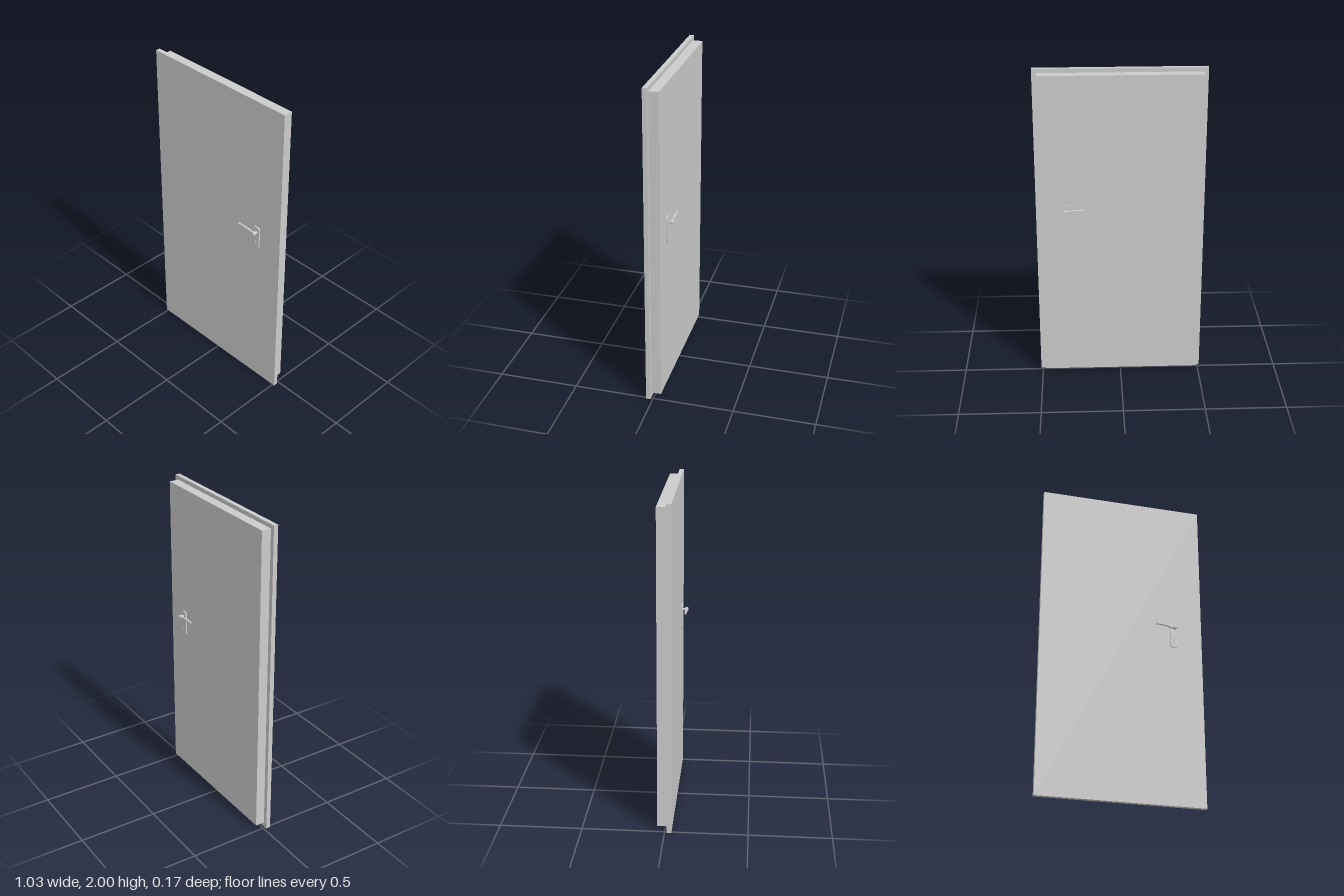
import * as THREE from 'three';

const material = new THREE.MeshStandardMaterial({ color: 0xcccccc });

function addMesh(parent, name, geometry, x = 0, y = 0, z = 0) {
  const mesh = new THREE.Mesh(geometry, material);
  mesh.name = name;
  mesh.position.set(x, y, z);
  parent.add(mesh);
  return mesh;
}

// Plate outline with rounded corners and a keyhole cut through it
function plateGeometry(depth) {
  const [l, r, b, t, c] = [0.307, 0.355, 1.01, 1.172, 0.015];
  const shape = new THREE.Shape();
  shape.moveTo(l + c, b);
  shape.lineTo(r - c, b);
  shape.absarc(r - c, b + c, c, -Math.PI / 2, 0);
  shape.lineTo(r, t - c);
  shape.absarc(r - c, t - c, c, 0, Math.PI / 2);
  shape.lineTo(l + c, t);
  shape.absarc(l + c, t - c, c, Math.PI / 2, Math.PI);
  shape.lineTo(l, b + c);
  shape.absarc(l + c, b + c, c, Math.PI, Math.PI * 1.5);

  const hole = new THREE.Path();
  const [x, y] = [0.331, 1.064];
  hole.moveTo(x - 0.0025, y - 0.014);
  hole.lineTo(x - 0.0025, y - 0.004);
  hole.absarc(x, y, 0.005, Math.PI * 1.3, -Math.PI * 0.3, true);
  hole.lineTo(x + 0.0025, y - 0.014);
  hole.closePath();
  shape.holes.push(hole);
  return new THREE.ExtrudeGeometry(shape, { depth, bevelEnabled: false, curveSegments: 6 });
}

// Gently curved lever that thickens towards the hub, centred on z = 0
function leverGeometry() {
  const shape = new THREE.Shape();
  shape.moveTo(0.212, 1.144);
  shape.bezierCurveTo(0.25, 1.145, 0.28, 1.139, 0.303, 1.13);
  shape.lineTo(0.335, 1.127);
  shape.lineTo(0.335, 1.146);
  shape.bezierCurveTo(0.31, 1.146, 0.27, 1.153, 0.212, 1.15);
  shape.closePath();
  return new THREE.ExtrudeGeometry(shape, {
    depth: 0.008, bevelThickness: 0.002, bevelSize: 0.002, bevelSegments: 2, curveSegments: 10,
  }).translate(0, 0, -0.004);
}

// Handle set standing off a door face at z = face, pointing along sign
function makeHandle(name, face, sign) {
  const handle = new THREE.Group();
  handle.name = name;
  const plateDepth = 0.009;
  const at = (offset) => face + sign * offset;
  addMesh(handle, 'plate', plateGeometry(plateDepth), 0, 0, sign > 0 ? face : face - plateDepth);
  const stem = new THREE.CylinderGeometry(0.008, 0.008, 0.016, 20).rotateX(Math.PI / 2);
  addMesh(handle, 'stem', stem, 0.335, 1.137, at(0.015));
  const hub = new THREE.LatheGeometry([
    [0, -0.01], [0.0105, -0.01], [0.013, -0.006], [0.013, 0.006], [0.0105, 0.01], [0, 0.01],
  ].map(([x, y]) => new THREE.Vector2(x, y)), 20).toNonIndexed().rotateX(Math.PI / 2);
  hub.computeVertexNormals();
  addMesh(handle, 'hub', hub, 0.335, 1.137, at(0.031));
  addMesh(handle, 'lever', leverGeometry(), 0, 0, at(0.031));
  return handle;
}

export function createModel() {
  const door = new THREE.Group();
  door.name = 'door';
  // Wide front leaf with the smaller rebated leaf behind it
  addMesh(door, 'frontLeaf', new THREE.BoxGeometry(1.026, 2, 0.028), 0, 1, 0.028);
  addMesh(door, 'rebatedLeaf', new THREE.BoxGeometry(0.97, 1.945, 0.059), -0.001, 1.0025, -0.0155);
  door.add(makeHandle('frontHandle', 0.042, 1));
  door.add(makeHandle('backHandle', -0.045, -1));
  return door;
}
